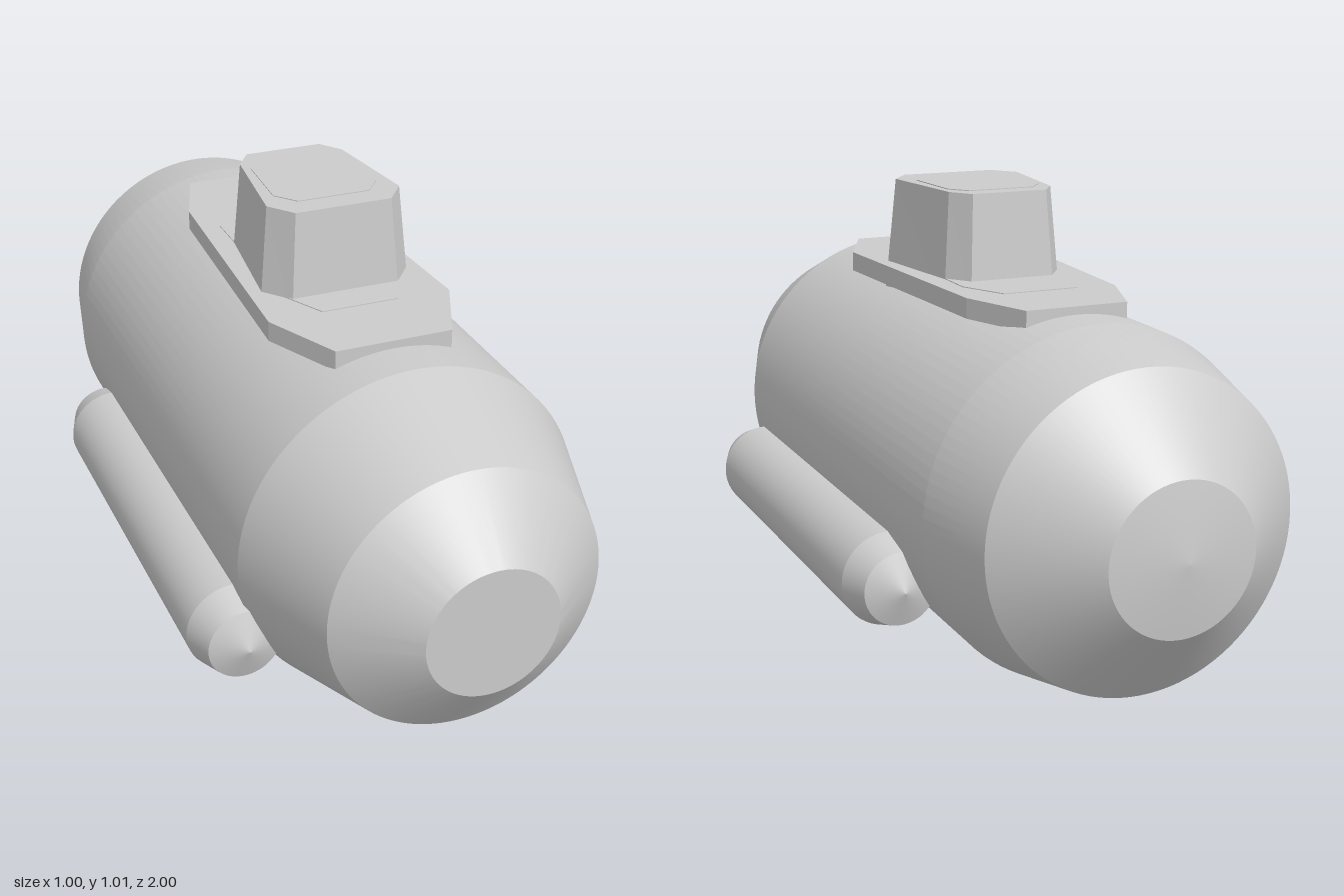
import * as THREE from 'three';
import { toCreasedNormals } from 'three/addons/utils/BufferGeometryUtils.js';

const material = new THREE.MeshStandardMaterial({ color: 0xcccccc });

function addMesh(group, name, geometry) {
  const mesh = new THREE.Mesh(geometry, material);
  mesh.name = name;
  group.add(mesh);
  return mesh;
}

// Solid of revolution along z; profile is [z, radius] from back to front
function turned(profile, segments) {
  const points = profile.map(([z, r]) => new THREE.Vector2(r, z));
  const geometry = new THREE.LatheGeometry(points, segments).rotateX(Math.PI / 2);
  return toCreasedNormals(geometry, 0.22);
}

// Upright slab from one half of a symmetric plan outline ([x, z]), with optional taper
function slab(half, bottom, top, taperX = 1, taperZ = 1, centreZ = 0) {
  const mirrored = half.map(([x, z]) => [-x, z]).reverse();
  const shape = new THREE.Shape([...half, ...mirrored].map(([x, z]) => new THREE.Vector2(x, -z)));
  const geometry = new THREE.ExtrudeGeometry(shape, { depth: top - bottom, bevelEnabled: false });
  geometry.rotateX(-Math.PI / 2).translate(0, bottom, 0);
  const p = geometry.attributes.position;
  for (let i = 0; i < p.count; i++) {
    const t = (p.getY(i) - bottom) / (top - bottom);
    p.setX(i, p.getX(i) * THREE.MathUtils.lerp(1, taperX, t));
    p.setZ(i, centreZ + (p.getZ(i) - centreZ) * THREE.MathUtils.lerp(1, taperZ, t));
  }
  geometry.computeVertexNormals();
  return geometry;
}

export function createModel() {
  const model = new THREE.Group();
  model.name = 'submarine';

  // Main hull with faceted nose and tail
  const hull = [[-1, 0], [-0.975, 0.165], [-0.81, 0.352], [-0.6, 0.398], [0.6, 0.398],
    [0.875, 0.309], [1, 0.15], [1, 0]];
  addMesh(model, 'hull', turned(hull, 96)).position.y = 0.4;

  // Ballast tanks on both sides
  const tank = [[-0.482, 0], [-0.45, 0.083], [-0.375, 0.108], [0.545, 0.108], [0.618, 0.083], [0.65, 0]];
  for (const [name, side] of [['leftTank', 1], ['rightTank', -1]]) {
    addMesh(model, name, turned(tank, 48)).position.set(side * 0.391, 0.218, 0);
  }

  // Deck and its shallow panel
  addMesh(model, 'deck',
    slab([[0.12, -0.5], [0.182, -0.325], [0.216, 0.315], [0.135, 0.497]], 0.77, 0.816));
  addMesh(model, 'deckPanel',
    slab([[0.09, -0.32], [0.142, -0.21], [0.142, 0.21], [0.09, 0.315]], 0.8, 0.818));

  // Tapered conning tower and its roof panel
  addMesh(model, 'tower',
    slab([[0.105, -0.172], [0.147, -0.112], [0.183, 0.172], [0.131, 0.238]], 0.752, 1.015, 0.87, 0.9, 0.034));
  addMesh(model, 'towerRoof',
    slab([[0.08, -0.105], [0.115, -0.06], [0.125, 0.11], [0.085, 0.16]], 1.0, 1.017));

  return model;
}
